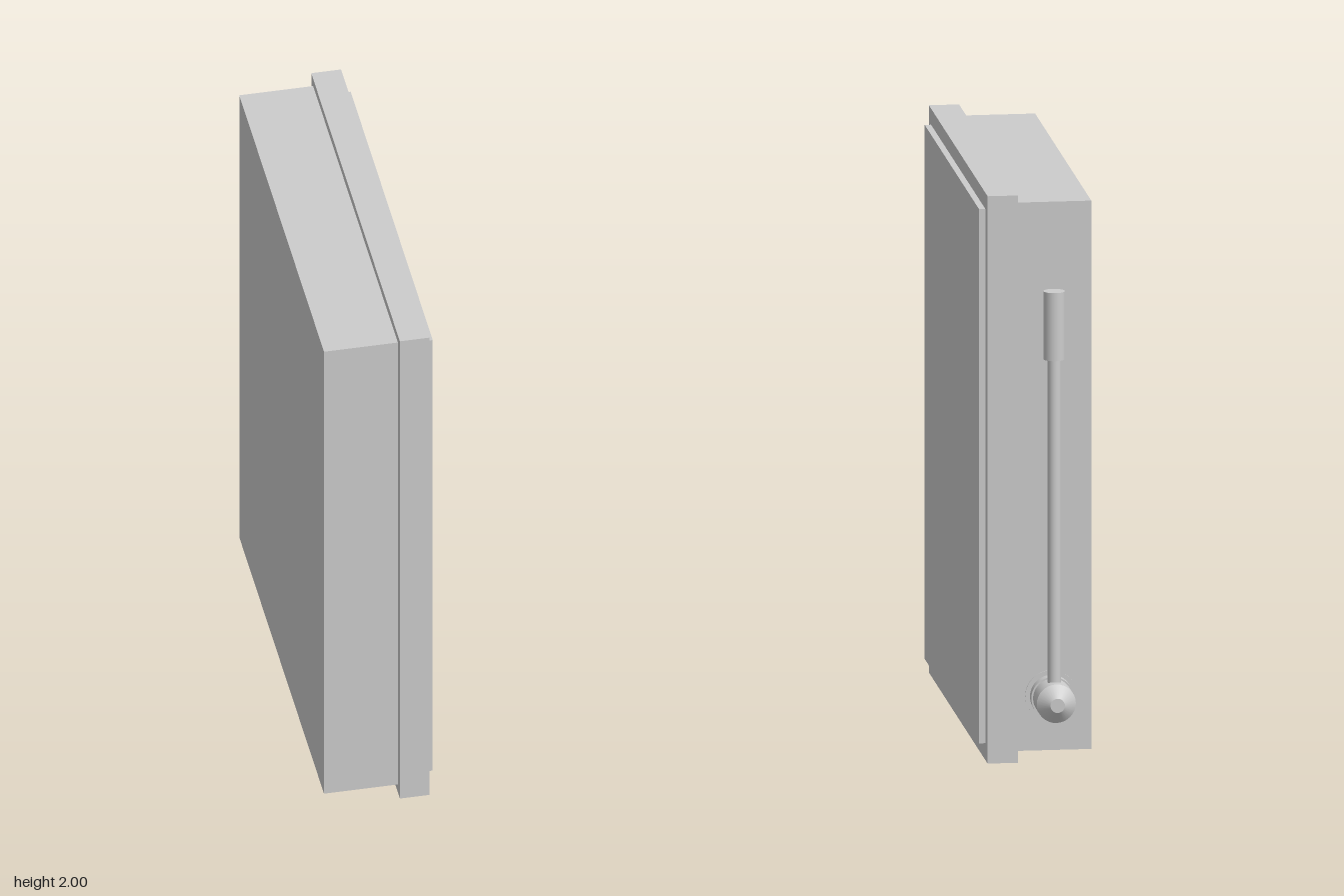
import * as THREE from 'three';

export function createModel() {
  const group = new THREE.Group();
  const grey = new THREE.MeshStandardMaterial({ color: 0xcccccc });
  grey.name = 'grey';

  const add = (name, geometry, x, y, z) => {
    const mesh = new THREE.Mesh(geometry, grey);
    mesh.name = name;
    mesh.position.set(x, y, z);
    group.add(mesh);
    return mesh;
  };
  // Box given by its lower and upper corners
  const box = (name, [x0, y0, z0], [x1, y1, z1]) =>
    add(name, new THREE.BoxGeometry(x1 - x0, y1 - y0, z1 - z0),
      (x0 + x1) / 2, (y0 + y1) / 2, (z0 + z1) / 2);

  // Cabinet, door frame and raised door panel
  box('cabinet', [-0.195, 0.035, -0.665], [0.065, 1.968, 0.803]);
  box('doorFrame', [0.065, 0, -0.697], [0.17, 2, 0.838]);
  box('doorPanel', [0.17, 0.06, -0.64], [0.192, 1.943, 0.782]);

  // Pivot: stepped cylinders with a tapered end, pointing to -z
  const pivotX = -0.055, pivotY = 0.227;
  const disc = (name, rNear, rFar, near, far) => {
    const mesh = add(name, new THREE.CylinderGeometry(rFar, rNear, near - far, 32),
      pivotX, pivotY, (near + far) / 2);
    mesh.rotation.x = -Math.PI / 2;
  };
  disc('pivotPlate', 0.09, 0.09, -0.66, -0.669);
  disc('pivotCollar', 0.074, 0.074, -0.669, -0.705);
  disc('pivotHub', 0.068, 0.068, -0.705, -0.803);
  disc('pivotCap', 0.068, 0.025, -0.803, -0.84);

  // Lever rod and grip
  const leverZ = -0.746;
  add('leverRod', new THREE.CylinderGeometry(0.023, 0.023, 1.2, 24), pivotX, 0.83, leverZ);
  add('leverGrip', new THREE.CylinderGeometry(0.037, 0.037, 0.24, 24), pivotX, 1.55, leverZ);

  return group;
}
